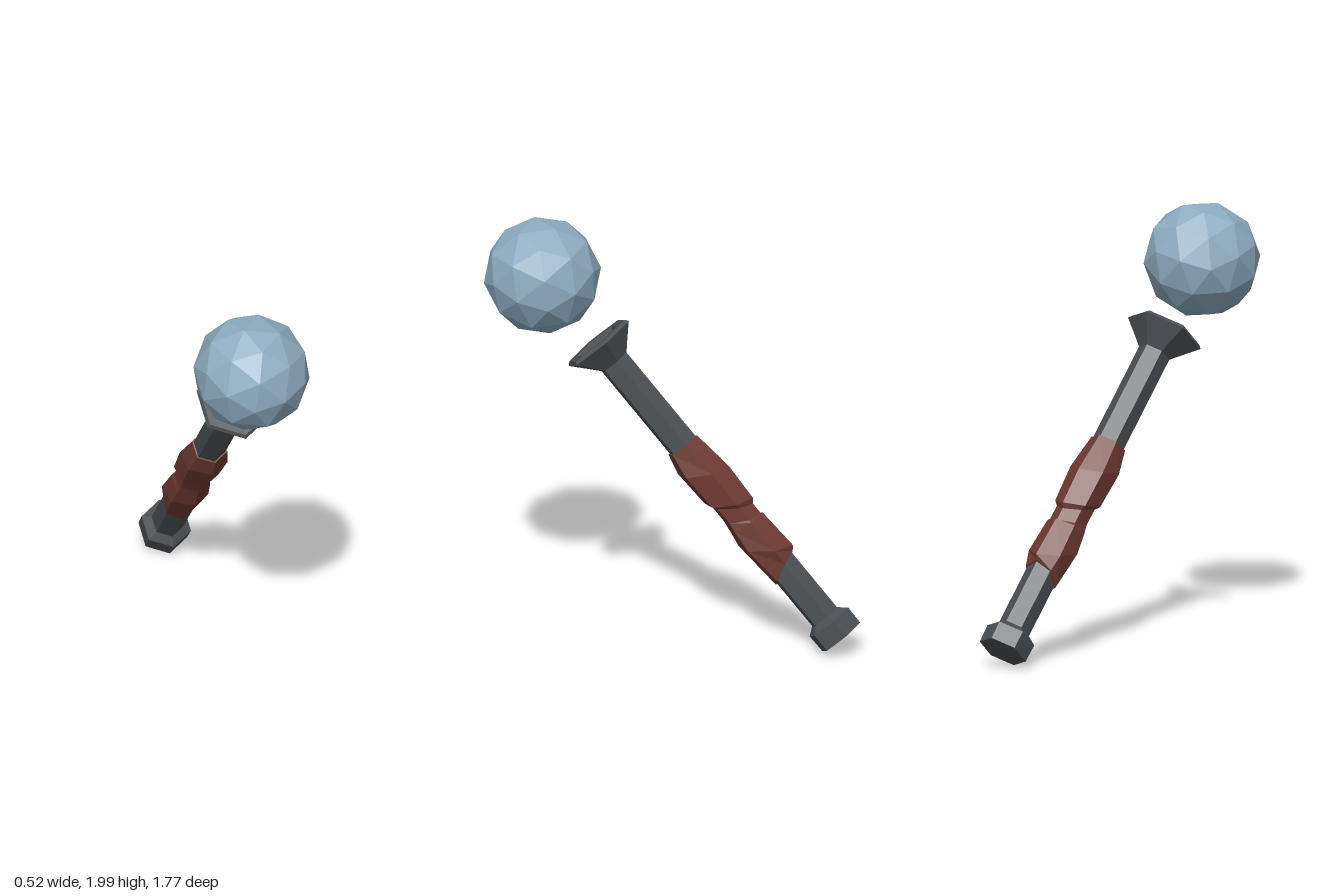
import * as THREE from 'three';

// Six-sided solid from [height, radius, skew] rings, bottom to top.
// Skew raises the back corner of a ring and lowers its front corner (or the reverse).
function hexLoft(name, rings, material) {
  const geo = new THREE.LatheGeometry(rings.map(([h, r]) => new THREE.Vector2(r, h)), 6);
  const pos = geo.attributes.position;
  for (let i = 0; i < pos.count; i++) {
    const [h, r, skew = 0] = rings[i % rings.length];
    if (r > 0) pos.setY(i, h - (pos.getZ(i) / r) * skew);
  }
  const mesh = new THREE.Mesh(geo, material);
  mesh.name = name;
  return mesh;
}

export function createModel() {
  const mat = (name, color) => {
    const m = new THREE.MeshStandardMaterial({ color, flatShading: true });
    m.name = name;
    return m;
  };
  const iron = mat('dark iron', 0x4a4f53);
  const leather = mat('brown leather', 0x6e3a31);
  const crystal = mat('pale blue crystal', 0x8dabc0);

  const model = new THREE.Group();
  model.name = 'orbSceptre';

  // Everything is built upright, then leaned forward along the handle axis
  const sceptre = new THREE.Group();
  sceptre.name = 'sceptre';
  const axis = new THREE.Vector3(-0.072, 1.344, 1.161).normalize();
  sceptre.quaternion.setFromUnitVectors(new THREE.Vector3(0, 1, 0), axis);
  sceptre.position.set(0.083, 0.08, -0.803);
  model.add(sceptre);

  // Pommel with a bevelled top
  sceptre.add(hexLoft('pommel', [[0, 0], [0, 0.117], [0.09, 0.119], [0.127, 0.07]], iron));

  // Straight shaft
  sceptre.add(hexLoft('shaft', [[0.1, 0.077], [1.68, 0.077]], iron));

  // Wrapped grip: two uneven bulges with a narrow neck between
  sceptre.add(hexLoft('grip', [
    [0.415, 0.06, 0.03], [0.415, 0.085, 0.04], [0.55, 0.105, -0.075], [0.69, 0.092, -0.01],
    [0.72, 0.083, -0.04], [0.8, 0.083, -0.057], [0.82, 0.101, -0.057],
    [1.005, 0.11, -0.058], [1.155, 0.085, -0.005], [1.155, 0.06],
  ], leather));

  // Flared cup with a shallow dish on top
  sceptre.add(hexLoft('cup', [
    [1.655, 0.075], [1.69, 0.108], [1.768, 0.185], [1.784, 0.172],
    [1.782, 0.122], [1.72, 0.07], [1.72, 0],
  ], iron));

  // Faceted orb floating above the cup, with a corner on the axis
  const orbGeo = new THREE.IcosahedronGeometry(0.273, 1);
  orbGeo.rotateZ(Math.atan(2 / (1 + Math.sqrt(5))));
  const orb = new THREE.Mesh(orbGeo, crystal);
  orb.name = 'orb';
  orb.position.y = 2.18;
  sceptre.add(orb);

  return model;
}
